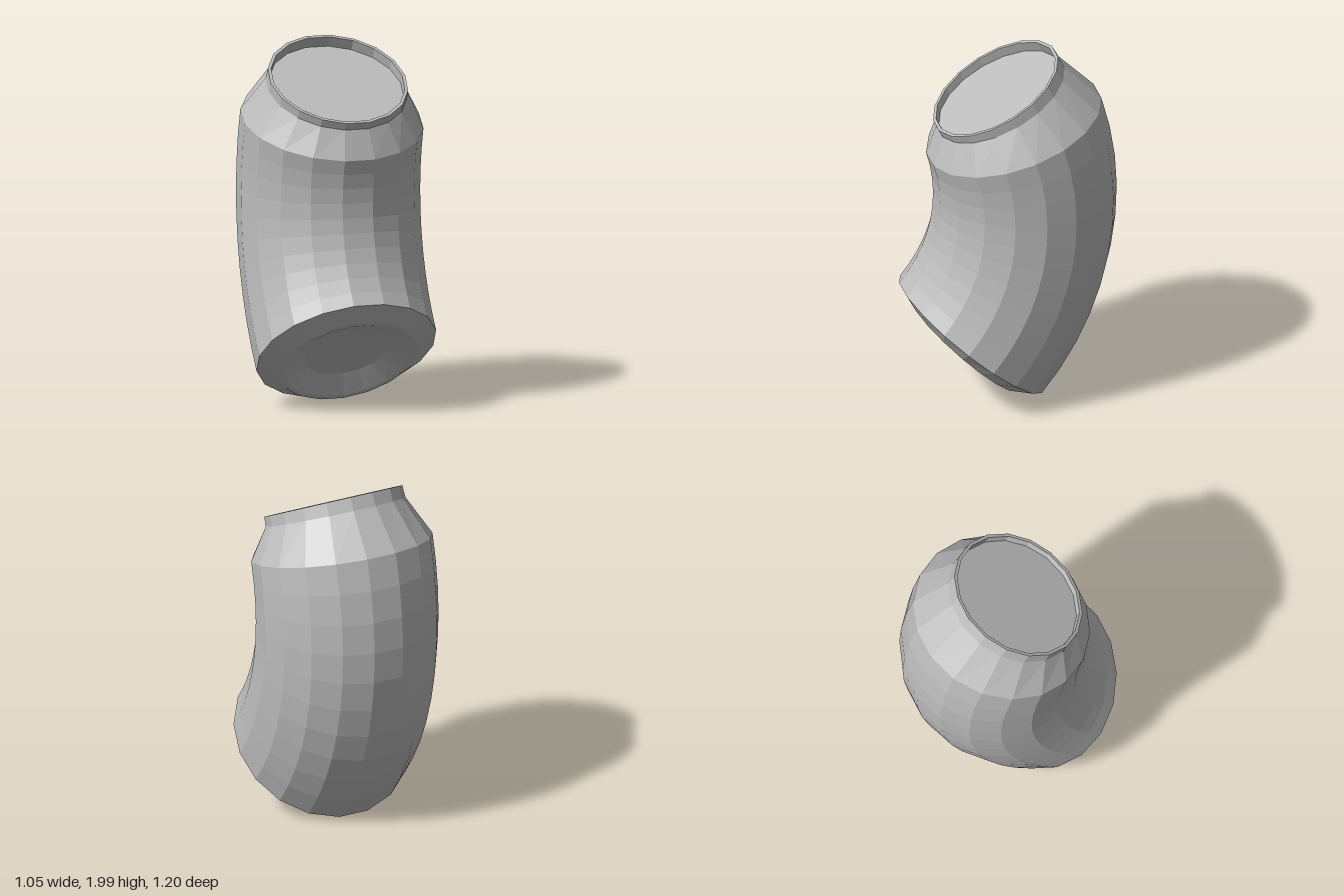
import * as THREE from 'three';

const SIDES = 18;
const BEND = 1.325; // radius of the bent centre line
const TURN = THREE.MathUtils.degToRad(11); // turn of the bend plane about y
const UP = new THREE.Vector3(0, 1, 0);
const INWARD = new THREE.Vector3(-Math.sin(TURN), 0, Math.cos(TURN));
const SIDE = new THREE.Vector3(Math.cos(TURN), 0, Math.sin(TURN));
const CENTRE = new THREE.Vector3(0.0225, 1.172, -0.09).addScaledVector(INWARD, BEND);

// Point on a cross-section: angle along the bend in degrees, radius, corner number
function ringPoint(angle, radius, k) {
  const a = THREE.MathUtils.degToRad(angle);
  const t = ((k + 0.5) / SIDES) * Math.PI * 2;
  const radial = INWARD.clone().multiplyScalar(-Math.cos(a)).addScaledVector(UP, Math.sin(a));
  return CENTRE.clone()
    .addScaledVector(radial, BEND + radius * Math.cos(t))
    .addScaledVector(SIDE, radius * Math.sin(t));
}

// Skin over a list of [angle, radius] cross-sections
function loft(name, stations, material) {
  const positions = [];
  const index = [];
  stations.forEach(([angle, radius], i) => {
    for (let k = 0; k < SIDES; k++) {
      positions.push(...ringPoint(angle, radius, k).toArray());
      if (i === stations.length - 1) continue;
      const a = i * SIDES + k;
      const b = i * SIDES + ((k + 1) % SIDES);
      const c = a + SIDES;
      const d = b + SIDES;
      if (radius > 0) index.push(a, c, b);
      if (stations[i + 1][1] > 0) index.push(b, c, d);
    }
  });
  const indexed = new THREE.BufferGeometry();
  indexed.setAttribute('position', new THREE.Float32BufferAttribute(positions, 3));
  indexed.setIndex(index);
  const geometry = indexed.toNonIndexed();
  geometry.computeVertexNormals();
  const mesh = new THREE.Mesh(geometry, material);
  mesh.name = name;
  return mesh;
}

export function createModel() {
  const group = new THREE.Group();
  group.name = 'bentPipe';
  const grey = new THREE.MeshStandardMaterial({ color: 0xbcbcbc, flatShading: true });
  grey.name = 'light grey';

  // Main bend, evenly divided
  const START = -39.7, END = 17.8, STEPS = 10;
  const bend = [];
  for (let i = 0; i <= STEPS; i++) bend.push([START + ((END - START) * i) / STEPS, 0.505]);

  group.add(
    // Lower end: recessed disc, funnel wall, rim and chamfer
    loft('lowerDisc', [[-40, 0], [-40, 0.24]], grey),
    loft('lowerFunnel', [[-40, 0.24], [-42.5, 0.36]], grey),
    loft('lowerRim', [[-42.5, 0.36], [-42.5, 0.39]], grey),
    loft('lowerChamfer', [[-42.5, 0.39], [START, 0.505]], grey),
    loft('pipeBend', bend, grey),
    // Upper end: shoulder, collar and recessed disc
    loft('upperShoulder', [[END, 0.505], [26.4, 0.392]], grey),
    loft('upperCollar', [[26.4, 0.392], [29, 0.39]], grey),
    loft('upperRim', [[29, 0.39], [29, 0.372]], grey),
    loft('upperInnerWall', [[29, 0.372], [26.8, 0.372]], grey),
    loft('upperDisc', [[26.8, 0.372], [26.8, 0]], grey),
  );
  return group;
}
